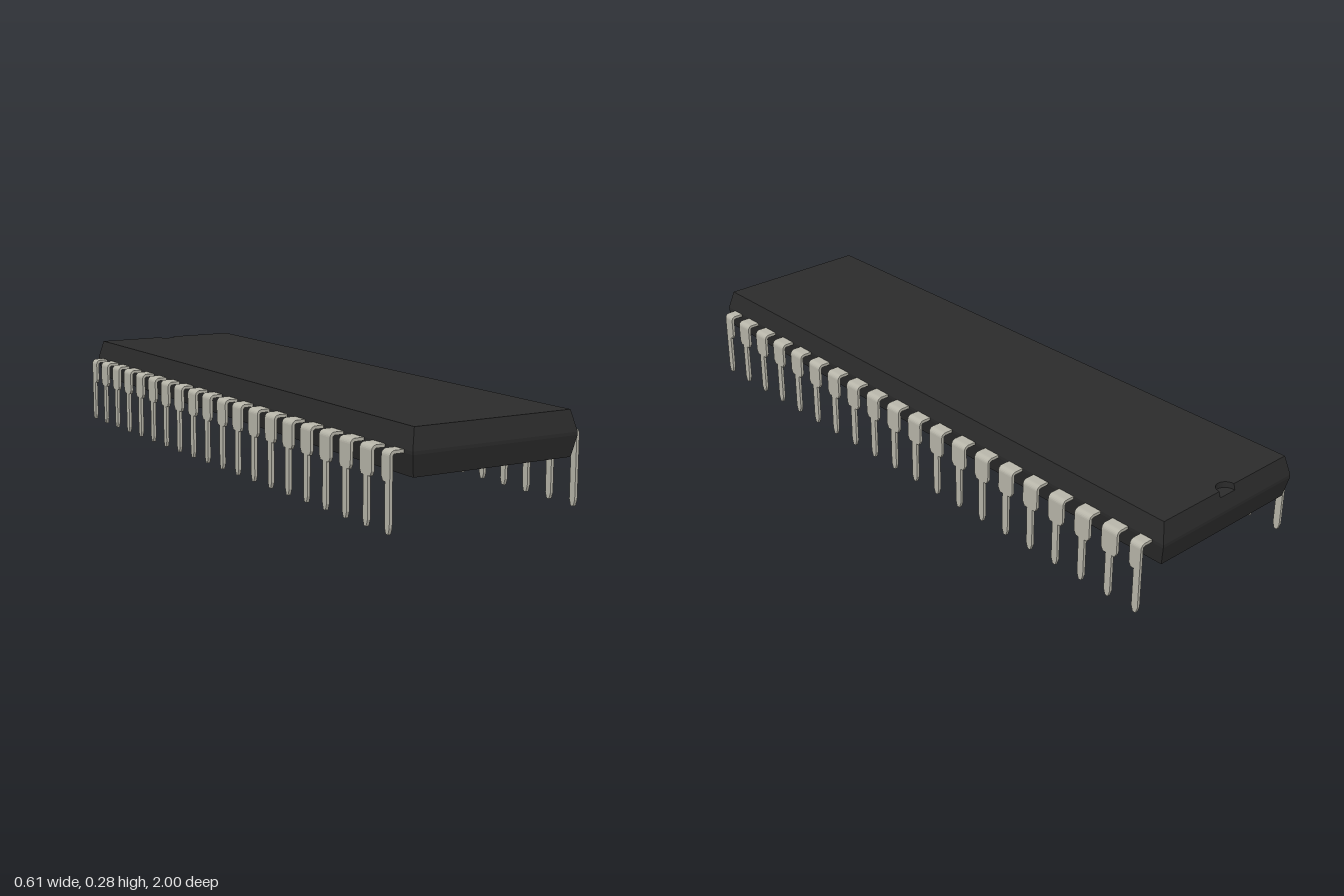
import * as THREE from 'three';

const PINS = 20, PITCH = 0.1;

// Skin a list of rings (counter-clockwise seen from the end) and close both ends.
function loft(rings, startCap, endCap) {
  const pos = [];
  const tri = (a, b, c) => pos.push(...a, ...b, ...c);
  for (let k = 0; k < rings.length - 1; k++) {
    const a = rings[k], b = rings[k + 1];
    for (let i = 0; i < a.length; i++) {
      const j = (i + 1) % a.length;
      tri(a[i], a[j], b[j]);
      tri(a[i], b[j], b[i]);
    }
  }
  const first = rings[0], last = rings[rings.length - 1];
  startCap.forEach(([i, j, k]) => tri(first[k], first[j], first[i]));
  endCap.forEach(([i, j, k]) => tri(last[i], last[j], last[k]));
  const geo = new THREE.BufferGeometry();
  geo.setAttribute('position', new THREE.Float32BufferAttribute(pos, 3));
  geo.computeVertexNormals();
  return geo;
}

// Moulded case: two drafted halves with a half-round index notch at the back of the top.
function bodyGeometry() {
  const topZ = 0.985, notchR = 0.03, steps = 12;
  const ring = (y, hx, hz, notched) => {
    const pts = [[hx, y, hz], [hx, y, -hz]];
    for (let i = 0; i <= steps; i++) {
      const t = Math.PI * i / steps;
      const inside = notched && i > 0 && i < steps;
      pts.push([notchR * Math.cos(t), y, inside ? -topZ + notchR * Math.sin(t) : -hz]);
    }
    pts.push([-hx, y, -hz], [-hx, y, hz]);
    return pts;
  };
  const rings = [
    ring(0.147, 0.253, 0.988, false),
    ring(0.207, 0.264, 1, false),
    ring(0.216, 0.264, 1, false),
    ring(0.257, 0.2543, 0.9896, false),
    ring(0.257, 0.2543, 0.9896, true), // notch floor
    ring(0.275, 0.25, topZ, true),
  ];
  const n = rings[0].length;
  const top = rings[5].map(([x, , z]) => new THREE.Vector2(x, -z));
  return loft(rings, [[0, 1, n - 2], [0, n - 2, n - 1]], THREE.ShapeUtils.triangulateShape(top, []));
}

// Bent sheet-metal pin; wMinus and wPlus are its shoulder widths towards -z and +z.
function pinGeometry(wMinus, wPlus) {
  const half = 0.0045, bendR = 0.0105, x = 0.3005, y = 0.211;
  const rings = [];
  const station = (px, py, angle, limit) => {
    const nx = Math.sin(angle) * half, ny = Math.cos(angle) * half;
    const a = -Math.min(wMinus, limit), b = Math.min(wPlus, limit);
    rings.push([[px + nx, py + ny, a], [px + nx, py + ny, b], [px - nx, py - ny, b], [px - nx, py - ny, a]]);
  };
  station(0.25, y, 0, 1);
  for (let i = 0; i <= 6; i++) {
    const t = Math.PI / 2 * i / 6;
    station(x - bendR + bendR * Math.sin(t), y - bendR + bendR * Math.cos(t), t, 1);
  }
  // shoulder, chamfer, narrow leg and tapered tip: [height, half width]
  [[0.147, 1], [0.134, 0.021], [0.134, 0.011], [0.018, 0.011], [0, 0.005]]
    .forEach(([py, w]) => station(x, py, Math.PI / 2, w));
  const cap = [[0, 1, 2], [0, 2, 3]];
  return loft(rings, cap, cap);
}

export function createModel() {
  const model = new THREE.Group();
  model.name = 'chip';
  const plastic = new THREE.MeshStandardMaterial({ color: 0x2b2b2b, flatShading: true });
  const metal = new THREE.MeshStandardMaterial({ color: 0xb8b6aa, flatShading: true });

  const body = new THREE.Mesh(bodyGeometry(), plastic);
  body.name = 'body';
  model.add(body);

  // End pins have only the inner half of the shoulder
  const wide = 0.028, narrow = 0.011;
  const middle = pinGeometry(wide, wide);
  const back = pinGeometry(narrow, wide);
  const front = pinGeometry(wide, narrow);
  for (const side of ['left', 'right']) {
    const row = new THREE.Group();
    row.name = side + 'Pins';
    for (let i = 0; i < PINS; i++) {
      const geo = i === 0 ? back : i === PINS - 1 ? front : middle;
      const pin = new THREE.Mesh(geo, metal);
      pin.name = 'pin';
      pin.position.z = (i - (PINS - 1) / 2) * PITCH;
      row.add(pin);
    }
    if (side === 'right') row.rotation.y = Math.PI;
    model.add(row);
  }
  return model;
}
